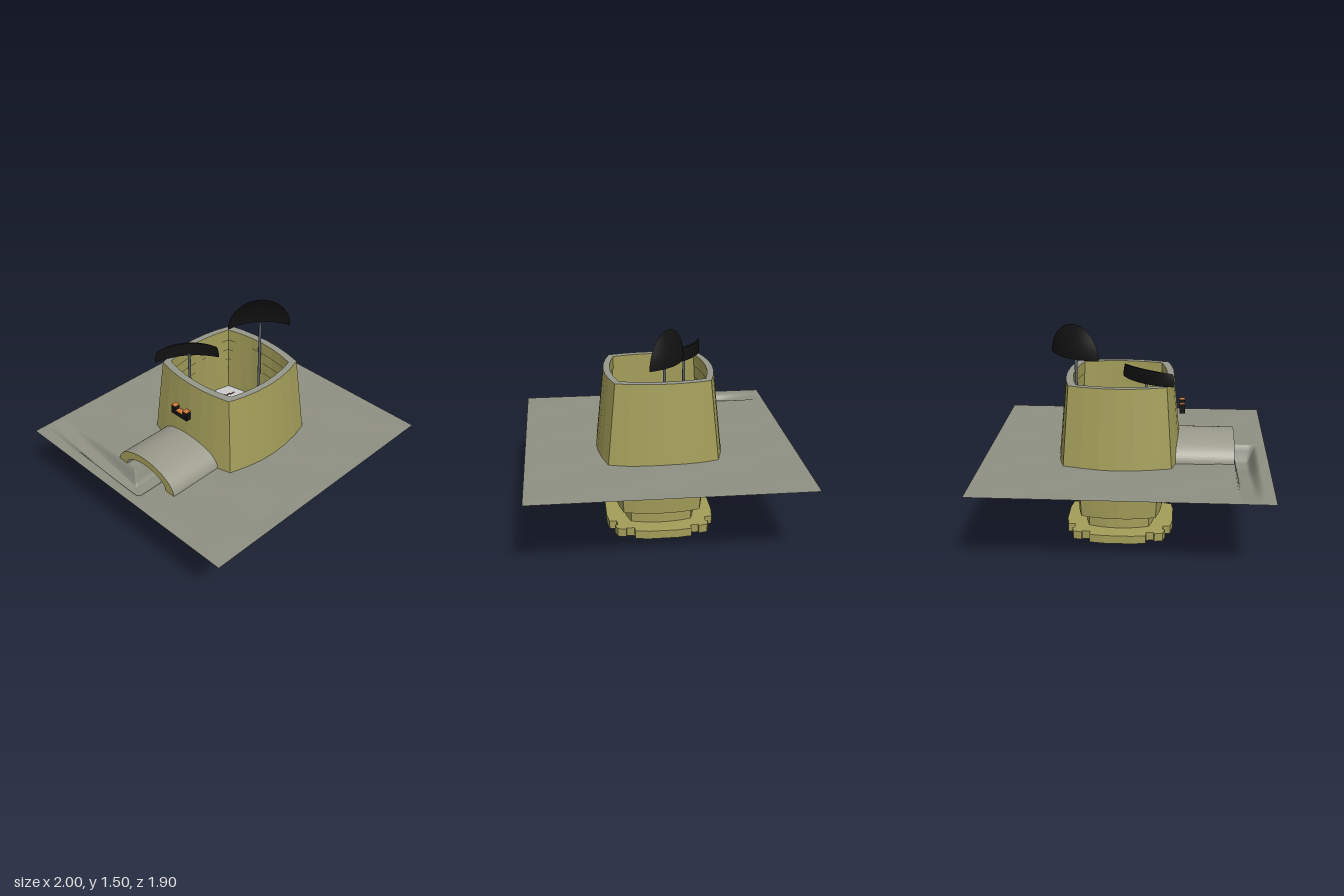
import * as THREE from 'three';

const mat = (color, extra = {}) => new THREE.MeshStandardMaterial({ color, ...extra });
const olive = mat(0xa39d59, { flatShading: true });
const stone = mat(0x9a9a8c);
const rimGrey = mat(0x96978a, { flatShading: true });
const black = mat(0x111111, { side: THREE.DoubleSide });
const steel = mat(0x5a6068);
const CX = 0.05, GROUND = 0.58;

// Square outline with bulging sides: m = mid-side reach, c = corner reach
function bulgedSquare([y, mx, mz, cx, cz], seg = 6) {
  const pts = [];
  for (let side = 0; side < 4; side++) {
    for (let i = 0; i < seg; i++) {
      const t = (i / seg) * 2 - 1, b = 1 - t * t;
      const u = side % 2 ? [-t * cx, cz + (mz - cz) * b] : [cx + (mx - cx) * b, t * cz];
      const s = side < 2 ? 1 : -1;
      pts.push(new THREE.Vector3(CX + s * u[0], y, s * u[1]));
    }
  }
  return pts;
}

// Skin between successive outlines; a zero-size outline closes an end
function loft(rows) {
  const rings = rows.map(r => bulgedSquare(r)), n = rings[0].length;
  const pos = [], idx = [];
  rings.forEach(r => r.forEach(p => pos.push(p.x, p.y, p.z)));
  for (let k = 0; k < rings.length - 1; k++) {
    for (let i = 0; i < n; i++) {
      const a = k * n + i, b = k * n + (i + 1) % n;
      idx.push(a, a + n, b, b, a + n, b + n);
    }
  }
  const g = new THREE.BufferGeometry();
  g.setAttribute('position', new THREE.Float32BufferAttribute(pos, 3));
  g.setIndex(idx);
  g.computeVertexNormals();
  return g;
}

// Height of the terrain: faint ripples, a sloping trench and the tunnel floor
function terrain(x, z) {
  const step = THREE.MathUtils.smoothstep;
  const edge = Math.max(Math.abs(x), Math.abs(z) + 0.05);
  let y = GROUND + 0.004 * Math.sin(9 * x + 3 * z) * Math.sin(8 * z - 2 * x) * (1 - step(edge, 0.9, 1));
  const west = step(x, -0.93, -0.87);
  const slope = THREE.MathUtils.clamp((z + 0.93) / 0.84, 0, 1) * 0.115;
  const ramp = west * (1 - step(x, -0.79, -0.765)) * (1 - step(z, 0.07, 0.11));
  const hall = west * (1 - step(x, -0.29, -0.26)) * step(z, -0.11, -0.085) * (1 - step(z, 0.07, 0.11));
  return y - slope * Math.max(ramp, hall);
}

// Curved sheet from a rule p(u, v)
function sheet(rule, nu, nv) {
  const g = new THREE.PlaneGeometry(1, 1, nu, nv), p = g.attributes.position, uv = g.attributes.uv;
  for (let i = 0; i < p.count; i++) p.setXYZ(i, ...rule(uv.getX(i), uv.getY(i)));
  g.computeVertexNormals();
  return g;
}

export function createModel() {
  const model = new THREE.Group();
  const add = (name, geo, material, x = 0, y = 0, z = 0, parent = model) => {
    const m = new THREE.Mesh(geo, material);
    m.name = name;
    m.position.set(x, y, z);
    parent.add(m);
    return m;
  };
  const box = (name, w, h, d, material, x, y, z, parent) =>
    add(name, new THREE.BoxGeometry(w, h, d), material, x, y, z, parent);

  // Terrain sheet
  const land = new THREE.PlaneGeometry(2, 1.9, 170, 120).rotateX(-Math.PI / 2);
  const lp = land.attributes.position;
  for (let i = 0; i < lp.count; i++) lp.setY(i, terrain(lp.getX(i), lp.getZ(i)));
  land.computeVertexNormals();
  add('ground', land, mat(0x8f9083, { side: THREE.DoubleSide }));

  // Tower above ground: outer wall, rim, stepped inner wall, floor
  add('towerWall', loft([
    [0.572, 0, 0, 0, 0], [0.572, 0.435, 0.445, 0.375, 0.38], [1.145, 0.38, 0.385, 0.335, 0.325],
  ]), olive);
  add('towerRim', loft([
    [1.145, 0.38, 0.385, 0.335, 0.325], [1.145, 0.33, 0.338, 0.285, 0.295],
  ]), rimGrey);
  const tiers = [];
  for (let i = 0; i < 6; i++) {
    const o = i * 0.007, top = 1.145 - i * 0.09;
    for (const y of [top, top - 0.09]) tiers.push([y, 0.33 + o, 0.338 + o, 0.285 + o, 0.295 + o]);
  }
  add('innerWall', loft(tiers), olive);
  add('towerFloor', loft([
    [0.605, 0.37, 0.375, 0.325, 0.335], [0.605, 0, 0, 0, 0],
  ]), mat(0xcccccc));

  // Partition lines laid out on the floor
  const lines = new THREE.Group();
  lines.name = 'floorLines';
  model.add(lines);
  const red = mat(0x7a3038), dark = mat(0x444444);
  let seed = 7;
  const rnd = () => (seed = (seed * 16807) % 2147483647) / 2147483647;
  for (let i = 0; i < 110; i++) {
    const len = 0.02 + 0.07 * rnd() ** 2, along = rnd() < 0.5;
    box('floorLine', along ? len : 0.006, 0.006, along ? 0.006 : len, i % 2 ? red : dark,
      CX + (rnd() - 0.5) * 0.54, 0.608, (rnd() - 0.5) * 0.56, lines);
  }
  for (const s of [-1, 1]) {
    box('longLine', 0.006, 0.006, 0.18, red, CX - 0.08 + s * 0.06, 0.608, s * 0.2, lines);
    box('longLine', 0.18, 0.006, 0.006, red, CX + s * 0.2, 0.608, s * 0.07, lines);
  }

  // Shaft and neck below ground
  add('lowerShaft', loft([
    [0.155, 0, 0, 0, 0], [0.155, 0.305, 0.31, 0.265, 0.27], [0.575, 0.33, 0.34, 0.285, 0.295],
  ]), olive);
  add('neck', loft([
    [0.055, 0.25, 0.255, 0.215, 0.215], [0.158, 0.25, 0.255, 0.215, 0.215],
  ]), olive);

  // Foot plate with notched corners, one quarter repeated four times
  const quarter = [[0.385, -0.1], [0.385, 0.1], [0.37, 0.2], [0.32, 0.2], [0.315, 0.255],
    [0.335, 0.26], [0.32, 0.32], [0.26, 0.335], [0.255, 0.315], [0.2, 0.32], [0.2, 0.37]];
  const foot = new THREE.Shape();
  for (let k = 0; k < 4; k++) {
    for (const [x, y] of quarter) {
      const p = new THREE.Vector2(x, y).rotateAround(new THREE.Vector2(), k * Math.PI / 2);
      k === 0 && x === 0.385 && y < 0 ? foot.moveTo(p.x, p.y) : foot.lineTo(p.x, p.y);
    }
  }
  add('footPlate', new THREE.ExtrudeGeometry(foot, { depth: 0.06, bevelEnabled: false }).rotateX(-Math.PI / 2),
    olive, CX);

  // Vaulted tunnel joining the tower
  const arch = new THREE.Shape();
  arch.absellipse(0, 0, 0.28, 0.158, 0, Math.PI, false);
  arch.absellipse(0, 0, 0.2, 0.105, Math.PI, 0, true);
  add('tunnelVault', new THREE.ExtrudeGeometry(arch, { depth: 0.43, bevelEnabled: false, curveSegments: 24 })
    .rotateY(Math.PI / 2), [olive, stone], -0.76, GROUND - 0.003, 0);

  // Half-dish antenna on its pole: rim in one plane, bowl behind it
  add('dishAntenna', sheet((u, v) => {
    const a = u * Math.PI, s = 0.225 * v * Math.cos(a), d = 0.075 * (1 - v * v);
    return [0.37 + 0.8 * s + 0.6 * d, 1.272 + 0.228 * v * Math.sin(a), -0.025 + 0.6 * s - 0.8 * d];
  }, 32, 10), black);
  add('dishPole', new THREE.CylinderGeometry(0.01, 0.01, 0.71, 10), steel, 0.365, 0.96, -0.01);

  // Curved panel antenna on its pole, front and back skins
  for (const off of [0, 0.012]) {
    add('panelAntenna', sheet((u, v) => {
      const t = u * 2 - 1, s = 0.225 * t * (1 - 0.07 * v * v), d = 0.055 * (1 - t * t) + off * (1 - t ** 4);
      return [-0.155 + 0.8 * s + 0.6 * d, 1.155 + v * (0.1 - 0.012 * t * t), -0.215 + 0.6 * s - 0.8 * d];
    }, 24, 6), black);
  }
  add('panelPole', new THREE.CylinderGeometry(0.01, 0.01, 0.6, 10), steel, -0.14, 0.9, -0.21);

  // Wall bracket beside the tower
  const bracket = new THREE.Group();
  bracket.name = 'wallBracket';
  model.add(bracket);
  box('bracketBar', 0.04, 0.035, 0.15, black, -0.39, 0.908, -0.035, bracket);
  for (const z of [-0.09, 0.02]) box('bracketEnd', 0.04, 0.065, 0.04, black, -0.39, 0.924, z, bracket);
  box('bracketTop', 0.04, 0.004, 0.07, mat(0xd07a3a), -0.39, 0.927, -0.035, bracket);
  for (const z of [-0.09, 0.02]) box('bracketCap', 0.04, 0.004, 0.04, mat(0xd07a3a), -0.39, 0.958, z, bracket);

  return model;
}
